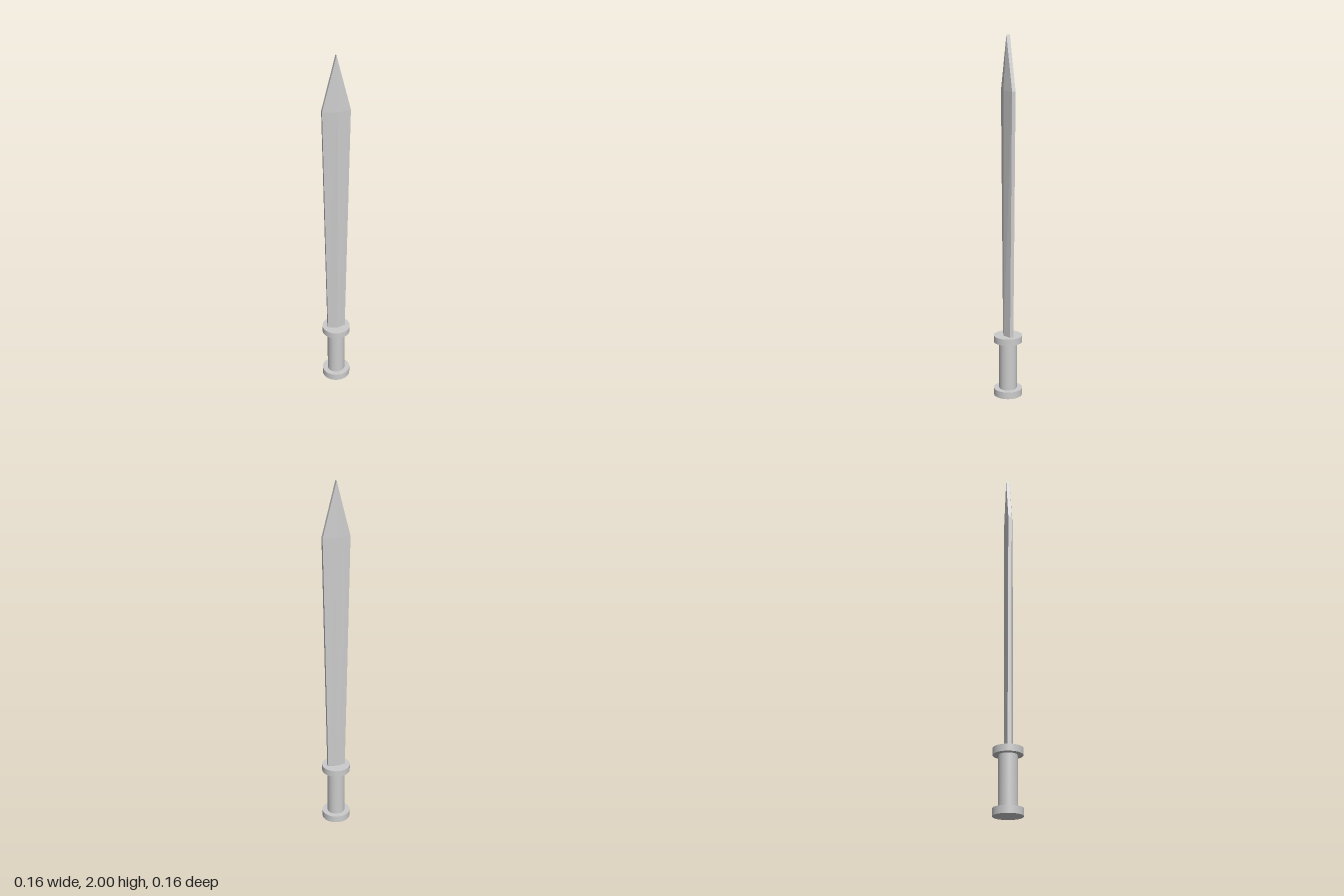
import * as THREE from 'three';

const material = new THREE.MeshStandardMaterial({ color: 0xcccccc });

// Round handle part standing between two heights
function disc(name, radius, y0, y1) {
  const geometry = new THREE.CylinderGeometry(radius, radius, y1 - y0, 48);
  geometry.translate(0, (y0 + y1) / 2, 0);
  const mesh = new THREE.Mesh(geometry, material);
  mesh.name = name;
  return mesh;
}

// Six-sided blade: flat side edges and a central ridge on both faces
function createBlade() {
  const edgeFront = 0.009, edgeBack = -0.011;
  const section = (y, w, ridgeFront, ridgeBack) => [
    [w, edgeBack], [0, ridgeBack], [-w, edgeBack],
    [-w, edgeFront], [0, ridgeFront], [w, edgeFront],
  ].map(([x, z]) => new THREE.Vector3(x, y, z));

  const sections = [
    section(0.34, 0.05, 0.027, -0.021),
    section(1.71, 0.075, 0.027, -0.021),
    section(2, 0, edgeFront, edgeBack),
  ];

  const points = [];
  const addTriangle = (a, b, c) => {
    if (new THREE.Triangle(a, b, c).getArea() > 1e-8) points.push(a, b, c);
  };
  for (let s = 0; s < sections.length - 1; s++) {
    const low = sections[s], high = sections[s + 1];
    for (let i = 0; i < 6; i++) {
      const j = (i + 1) % 6;
      addTriangle(low[i], low[j], high[j]);
      addTriangle(low[i], high[j], high[i]);
    }
  }
  // Closed foot of the blade, inside the guard
  for (let i = 1; i < 5; i++) addTriangle(sections[0][0], sections[0][i + 1], sections[0][i]);

  const geometry = new THREE.BufferGeometry().setFromPoints(points);
  geometry.computeVertexNormals();
  const mesh = new THREE.Mesh(geometry, material);
  mesh.name = 'blade';
  return mesh;
}

export function createModel() {
  const group = new THREE.Group();
  group.name = 'sword';
  group.add(
    disc('pommel', 0.08, 0, 0.04),
    disc('grip', 0.05, 0.03, 0.33),
    disc('guard', 0.08, 0.315, 0.352),
    createBlade(),
  );
  return group;
}
